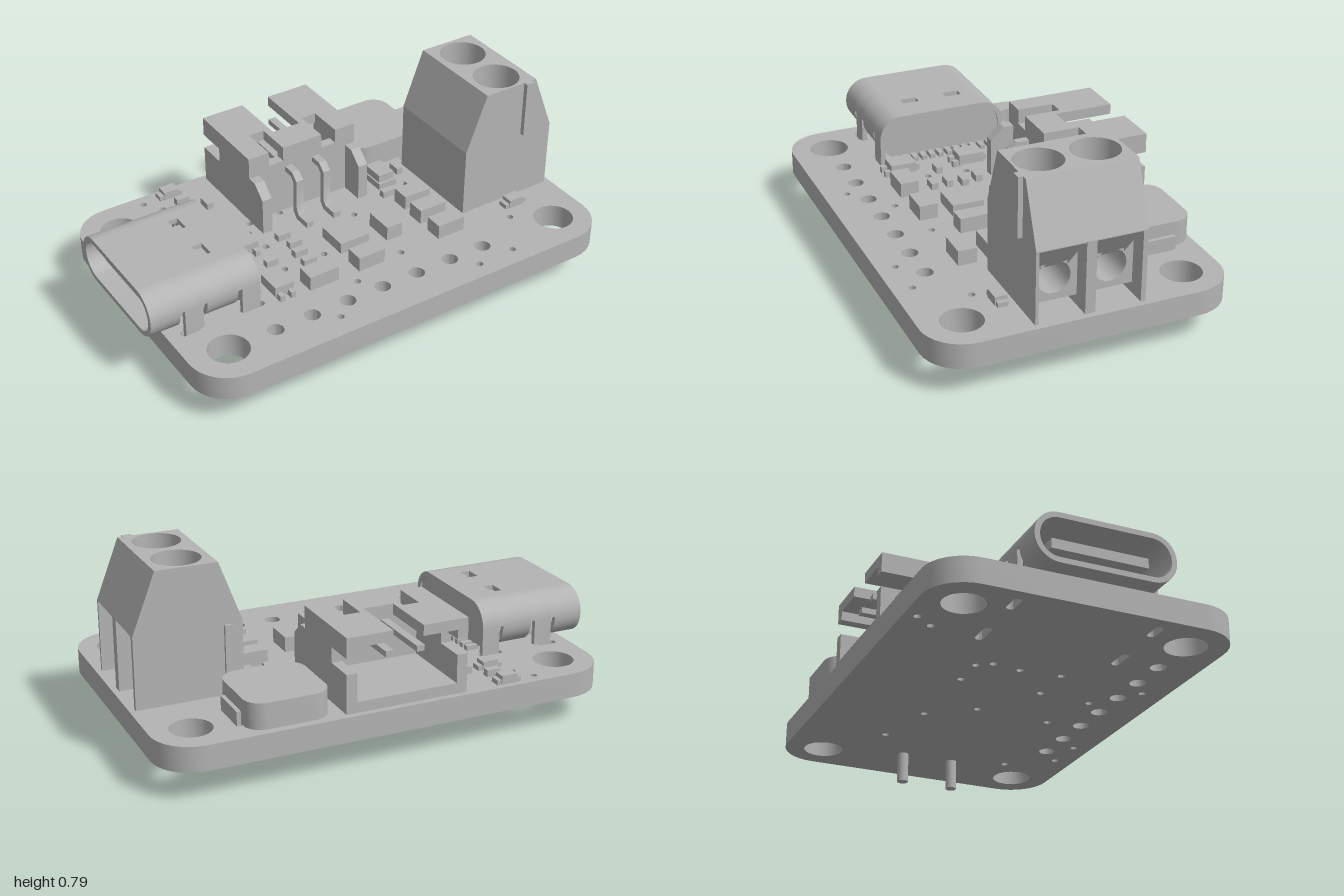
import * as THREE from 'three';
import { toCreasedNormals } from 'three/addons/utils/BufferGeometryUtils.js';

const grey = new THREE.MeshStandardMaterial({ color: 0xb4b4b4, side: THREE.DoubleSide });
grey.name = 'plain grey';
const TOP = 0.235; // upper face of the board

function add(parent, name, geo, x = 0, y = 0, z = 0) {
  const m = new THREE.Mesh(geo, grey);
  m.name = name;
  m.position.set(x, y, z);
  parent.add(m);
  return m;
}
function group(parent, name) {
  const g = new THREE.Group();
  g.name = name;
  parent.add(g);
  return g;
}
// box from its limits
const box = (p, name, x0, x1, y0, y1, z0, z1) =>
  add(p, name, new THREE.BoxGeometry(x1 - x0, y1 - y0, z1 - z0), (x0 + x1) / 2, (y0 + y1) / 2, (z0 + z1) / 2);
const poly = pts => new THREE.Shape(pts.map(p => new THREE.Vector2(p[0], p[1])));
const circle = (x, y, r) => new THREE.Path().absarc(x, y, r, 0, Math.PI * 2, true);
const rect = (x0, x1, y0, y1) => poly([[x0, y0], [x1, y0], [x1, y1], [x0, y1]]);
const arc = (cx, cy, r, a0, a1, n = 8) => Array.from({ length: n + 1 }, (_, i) => {
  const a = a0 + (a1 - a0) * i / n;
  return [cx + r * Math.cos(a), cy + r * Math.sin(a)];
});
function rounded(x0, x1, y0, y1, r) {
  const q = Math.PI / 2;
  return poly([...arc(x1 - r, y1 - r, r, 0, q), ...arc(x0 + r, y1 - r, r, q, 2 * q),
    ...arc(x0 + r, y0 + r, r, 2 * q, 3 * q), ...arc(x1 - r, y0 + r, r, 3 * q, 4 * q)]);
}
const extrude = (shape, depth, seg = 12) => toCreasedNormals(
  new THREE.ExtrudeGeometry(shape, { depth, bevelEnabled: false, curveSegments: seg }), 0.6);
// plan shape (x, z) hanging down from y
const slab = (p, name, shape, y, depth, seg) => add(p, name, extrude(shape, depth, seg).rotateX(Math.PI / 2), 0, y, 0);
// section (-z, y) running along x
const alongX = (p, name, shape, x0, x1) => add(p, name, extrude(shape, x1 - x0).rotateY(Math.PI / 2), x0, 0, 0);
function quad(p, name, a, b, c, d) {
  const g = new THREE.BufferGeometry();
  g.setAttribute('position', new THREE.Float32BufferAttribute([...a, ...b, ...c, ...a, ...c, ...d], 3));
  g.computeVertexNormals();
  return add(p, name, g);
}

function buildBoard(root) {
  const s = rounded(-0.93, 1, -0.63, 0.625, 0.17);
  for (const x of [-0.76, 0.835]) for (const z of [-0.462, 0.457]) s.holes.push(circle(x, z, 0.085));
  for (let i = 0; i < 7; i++) s.holes.push(circle(-0.55 + i * 0.1675, 0.457, 0.034));
  const vias = [[-0.594, -0.575], [-0.54, -0.5], [-0.295, 0.527], [-0.115, 0.375], [0.144, 0.31], [0.37, 0.55],
    [0.545, 0.543], [0.68, 0.355], [-0.32, 0.147], [-0.13, 0.147], [0.13, -0.02], [-0.305, -0.027],
    [-0.32, -0.147], [-0.28, -0.205], [-0.13, -0.205], [0.265, -0.205], [0.556, -0.27]];
  for (const [x, z] of vias) s.holes.push(circle(x, z, 0.015));
  for (const [x0, x1] of [[-0.875, -0.785], [-0.61, -0.5]]) for (const z of [-0.295, 0.285])
    s.holes.push(rounded(x0, x1, z - 0.017, z + 0.017, 0.016));
  slab(root, 'circuitBoard', s, TOP, 0.105);
}

function buildPort(root) {
  const g = group(root, 'cablePort');
  const W = 0.292, T = 0.445, B = 0.24, R = 0.1, t = 0.022, C = W - R, q = Math.PI / 2;
  // one half of the shell section: plain ring, cut-away or straight leg
  const half = (s, kind) => {
    const up = [...arc(C, T - R, R, q, 0)], inUp = [...arc(C, T - R, R - t, 0, q)];
    let pts;
    if (kind === 'gap') pts = [...up, ...inUp];
    else if (kind === 'leg') pts = [...up, [W, 0.19], [W - t, 0.19], ...inUp];
    else pts = [...up, ...arc(C, B + R, R, 0, -q), [0, B], [0, B + t], ...arc(C, B + R, R - t, -q, 0), ...inUp];
    return poly(pts.map(([z, y]) => [z * s, y]));
  };
  const runs = [[-1, -0.872, 'ring'], [-0.872, -0.853, 'gap'], [-0.853, -0.773, 'leg'], [-0.773, -0.754, 'gap'],
    [-0.754, -0.618, 'ring'], [-0.618, -0.6, 'gap'], [-0.6, -0.52, 'leg']];
  for (const [a, b, kind] of runs) for (const s of [-1, 1]) alongX(g, 'shellSide', half(s, kind), a, b);
  // top sheet with two latch windows
  const lid = rect(-1, -0.52, -C, C);
  for (const z of [-0.105, 0.098]) lid.holes.push(rect(-0.692, -0.648, z - 0.037, z + 0.037));
  slab(g, 'shellTop', lid, T, t);
  box(g, 'shellFloor', -0.88, -0.53, B, B + t, -C, C);
  box(g, 'tongue', -0.95, -0.58, 0.322, 0.363, -0.2, 0.2);
  alongX(g, 'rearWall', rounded(-W + 0.01, W - 0.01, B, T - 0.01, 0.09), -0.594, -0.53);
  for (let i = 0; i < 12; i++) {
    const z = -0.22 + i * 0.04;
    box(g, 'contact', -0.54, -0.48, TOP, 0.255, z - 0.012, z + 0.012);
  }
}

function buildSocket(root) {
  const g = group(root, 'batterySocket');
  const x0 = -0.267, x1 = 0.257, zb = -0.605, zf = -0.215, Y = 0.55, w = 0.045;
  box(g, 'floor', x0, x1, TOP, 0.28, zb, zf);
  // roof with a central rear slot and two front notches
  slab(g, 'roof', poly([[x0, zb], [-0.07, zb], [-0.07, -0.345], [0.06, -0.345], [0.06, zb], [x1, zb], [x1, zf],
    [0.16, zf], [0.16, -0.375], [0.09, -0.375], [0.09, zf], [-0.1, zf], [-0.1, -0.375], [-0.17, -0.375],
    [-0.17, zf], [x0, zf]]), Y, w);
  const wall = poly([[x0, TOP], [x1, TOP], [x1, Y], [0.16, Y], [0.16, 0.485], [0.09, 0.485], [0.09, Y],
    [-0.1, Y], [-0.1, 0.485], [-0.17, 0.485], [-0.17, Y], [x0, Y]]);
  add(g, 'frontWall', extrude(wall, w), 0, 0, zf - w);
  // side walls are notched at the rear, wings slope at the front
  const side = poly([[-zb, TOP], [-zb, 0.4], [0.47, 0.4], [0.47, 0.465], [-zb, 0.465], [-zb, Y], [-zf, Y], [-zf, TOP]]);
  const wing = poly([[-zf, TOP], [-zf, 0.455], [0.17, 0.455], [0.11, 0.4], [0.11, TOP]]);
  for (const x of [x0, x1 - w]) {
    alongX(g, 'sideWall', side, x, x + w);
    alongX(g, 'wing', wing, x, x + w);
  }
  // bent pins
  const pin = poly([[0.575, 0.43], [0.575, 0.455], [0.16, 0.455], [0.125, 0.425], [0.125, 0.285], [0.11, 0.262],
    [0.045, 0.262], [0.045, TOP], [0.125, TOP], [0.15, 0.262], [0.15, 0.41], [0.17, 0.43]]);
  for (const x of [-0.075, 0.06]) alongX(g, 'pin', pin, x - 0.017, x + 0.017);
}

function buildTerminal(root) {
  const g = group(root, 'screwTerminal');
  const z0 = -0.23, z1 = 0.225, xl = 0.527, xr = 0.975, tl = 0.622, tr = 0.877, S = 0.54, H = 0.79;
  const cells = [-0.115, 0.117];
  const profile = poly([[xl, TOP], [xr, TOP], [xr, S], [tr, H], [tl, H], [xl, S]]);
  for (const z of [z0, z1]) add(g, 'endFace', new THREE.ShapeGeometry(profile), 0, 0, z);
  quad(g, 'backFace', [xl, TOP, z0], [xl, TOP, z1], [xl, S, z1], [xl, S, z0]);
  quad(g, 'backSlope', [xl, S, z0], [xl, S, z1], [tl, H, z1], [tl, H, z0]);
  quad(g, 'frontSlope', [xr, S, z1], [xr, S, z0], [tr, H, z0], [tr, H, z1]);
  const top = rect(tl, tr, z0, z1);
  for (const z of cells) top.holes.push(circle(0.75, z, 0.098));
  add(g, 'topFace', new THREE.ShapeGeometry(top, 24).scale(1, -1, 1).rotateX(-Math.PI / 2), 0, H, 0);
  // posts between the wire entries
  for (const [a, b] of [[z0, -0.21], [-0.02, 0.022], [0.212, z1]]) box(g, 'post', 0.6, xr, TOP, S, a, b);
  box(g, 'ceiling', 0.6, xr - 0.002, S - 0.005, S, z0, z1);
  for (const z of cells) {
    const c = group(g, 'wireEntry');
    const plate = rect(-z - 0.095, -z + 0.095, 0.28, S);
    plate.holes.push(circle(-z, 0.375, 0.068));
    alongX(c, 'clampPlate', plate, 0.86, 0.9);
    add(c, 'wireBore', new THREE.CylinderGeometry(0.068, 0.068, 0.16, 24, 1, true).rotateZ(Math.PI / 2), 0.78, 0.375, z);
    box(c, 'clampCore', 0.6, 0.7, 0.28, S, z - 0.09, z + 0.09);
    // funnel leading into the bore
    const a = [xr - 0.005, S, z - 0.09], b = [xr - 0.005, S, z + 0.09], d = [0.89, 0.42, z + 0.05], e = [0.89, 0.42, z - 0.05];
    quad(c, 'funnel', a, b, d, e);
    quad(c, 'funnelSide', a, e, [0.9, 0.42, z - 0.055], [0.9, S, z - 0.095]);
    quad(c, 'funnelSide', b, d, [0.9, 0.42, z + 0.055], [0.9, S, z + 0.095]);
    // screw well, slotted screw and solder pin
    add(c, 'well', new THREE.CylinderGeometry(0.098, 0.098, 0.2, 28, 1, true), 0.75, 0.69, z);
    add(c, 'wellFloor', new THREE.CircleGeometry(0.098, 28).rotateX(-Math.PI / 2), 0.75, 0.592, z);
    for (const s of [0, 1]) {
      const dome = new THREE.SphereGeometry(0.082, 14, 8, Math.PI / 2 + s * Math.PI, Math.PI, 0, Math.PI / 2).scale(1, 0.8, 1);
      add(c, 'screwHalf', dome, 0.75 + (s ? -0.014 : 0.014), 0.595, z);
    }
    add(c, 'solderPin', new THREE.CylinderGeometry(0.024, 0.024, 0.29, 16), 0.75, 0.145, z);
  }
  // interlocking ribs on the ends
  box(g, 'upperRib', 0.815, 0.855, S, H, z1 - 0.01, 0.245);
  box(g, 'lowerRib', 0.57, 0.605, TOP, S - 0.01, -0.243, z0 + 0.01);
}

function buildInductor(root) {
  const g = group(root, 'inductor');
  slab(g, 'core', rounded(0.315, 0.658, -0.615, -0.275, 0.075), 0.352, 0.108);
  box(g, 'terminals', 0.3, 0.675, TOP, 0.295, -0.525, -0.357);
}

function buildChips(root) {
  const g = group(root, 'surfaceParts');
  // x, z, width, depth, height
  const plain = [[-0.445, -0.5, 0.06, 0.03, 0.03], [-0.365, -0.42, 0.03, 0.06, 0.03], [-0.35, 0.09, 0.055, 0.03, 0.03],
    [-0.215, -0.04, 0.06, 0.03, 0.03], [-0.2, 0.03, 0.06, 0.03, 0.03], [-0.215, 0.095, 0.06, 0.03, 0.03],
    [-0.215, 0.165, 0.06, 0.03, 0.03], [-0.24, 0.285, 0.135, 0.08, 0.065], [-0.01, 0.285, 0.125, 0.08, 0.065],
    [0, 0.115, 0.14, 0.14, 0.05], [0.18, 0.147, 0.075, 0.13, 0.065], [0.395, 0.28, 0.13, 0.08, 0.065],
    [0.395, 0.15, 0.13, 0.08, 0.065], [0.4, 0.03, 0.13, 0.08, 0.065], [0.335, -0.065, 0.06, 0.03, 0.03],
    [0.46, -0.065, 0.055, 0.03, 0.03], [0.475, -0.2, 0.03, 0.06, 0.03]];
  for (const [x, z, w, d, h] of plain) box(g, 'chip', x - w / 2, x + w / 2, TOP, TOP + h, z - d / 2, z + d / 2);
  // resistors and diode with metal ends
  for (const [x, z] of [[-0.465, -0.58], [-0.47, -0.42], [0.755, 0.28]]) {
    box(g, 'resistor', x - 0.035, x + 0.035, TOP, 0.272, z - 0.026, z + 0.026);
    for (const s of [-1, 1]) box(g, 'resistorEnd', x + s * 0.043 - 0.012, x + s * 0.043 + 0.012, TOP, 0.255, z - 0.022, z + 0.022);
  }
  box(g, 'diode', 0.332, 0.408, TOP, 0.3, -0.23, -0.125);
  box(g, 'diodeEnds', 0.325, 0.415, TOP, 0.265, -0.242, -0.113);
  // small transistors: body with three feet
  for (const [x, z] of [[-0.39, -0.07], [-0.41, 0.24]]) {
    box(g, 'transistor', x - 0.043, x + 0.043, 0.245, 0.29, z - 0.057, z + 0.057);
    for (const [fx, s] of [[-0.025, 1], [0.025, 1], [0, -1]]) {
      const fz = z + s * 0.065;
      box(g, 'transistorFoot', x + fx - 0.011, x + fx + 0.011, TOP, 0.262, fz - 0.018, fz + 0.018);
    }
  }
}

export function createModel() {
  const root = new THREE.Group();
  root.name = 'circuitModule';
  for (const build of [buildBoard, buildPort, buildSocket, buildTerminal, buildInductor, buildChips]) build(root);
  return root;
}
